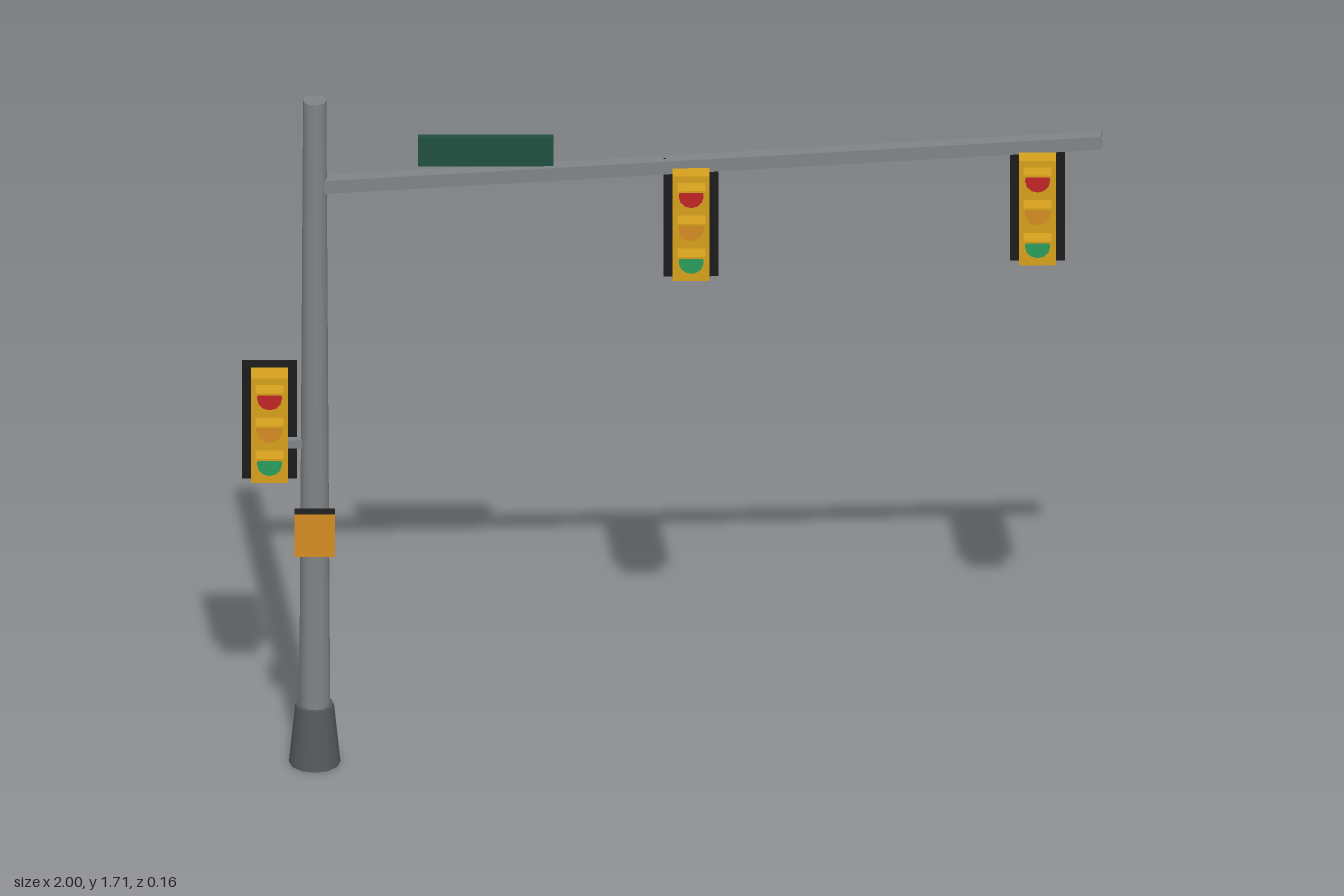
import * as THREE from 'three';

const mat = (name, color) => {
  const m = new THREE.MeshStandardMaterial({ color });
  m.name = name;
  return m;
};

export function createModel() {
  const steel = mat('steel grey', 0x808486);
  const darkSteel = mat('dark steel', 0x56595c);
  const yellow = mat('signal yellow', 0xd4a01c);
  const black = mat('matt black', 0x1c1c1c);
  const red = mat('red lens', 0xc02626);
  const amber = mat('amber lens', 0xd48c22);
  const green = mat('green lens', 0x2a9c5c);
  const signGreen = mat('sign green', 0x1f4f3f);

  const model = new THREE.Group();
  model.name = 'trafficSignal';

  const add = (parent, name, geometry, material, x, y, z) => {
    const mesh = new THREE.Mesh(geometry, material);
    mesh.name = name;
    mesh.position.set(x, y, z);
    parent.add(mesh);
    return mesh;
  };
  const box = (parent, name, size, material, x, y, z) =>
    add(parent, name, new THREE.BoxGeometry(...size), material, x, y, z);

  // Tapered pole on a flared base
  const poleX = -0.83, poleZ = -0.02;
  add(model, 'base', new THREE.CylinderGeometry(0.045, 0.06, 0.15, 12), darkSteel, poleX, 0.075, poleZ);
  add(model, 'pole', new THREE.CylinderGeometry(0.027, 0.036, 1.56, 12), steel, poleX, 0.93, poleZ);

  // Mast arm rising gently away from the pole
  const start = new THREE.Vector2(-0.815, 1.492), end = new THREE.Vector2(0.999, 1.604);
  const arm = box(model, 'mastArm', [start.distanceTo(end), 0.033, 0.033], steel,
    (start.x + end.x) / 2, (start.y + end.y) / 2, poleZ);
  arm.rotation.z = Math.atan2(end.y - start.y, end.x - start.x);

  // Street sign above the arm
  box(model, 'streetSign', [0.315, 0.075, 0.016], signGreen, -0.432, 1.578, -0.024);

  // Three-lamp signal head: backplate, housing, lenses and flat visors
  const signalHead = (name, x, y, z) => {
    const head = new THREE.Group();
    head.name = name;
    head.position.set(x, y, z);
    box(head, 'backplate', [0.128, 0.304, 0.005], black, 0, 0, -0.0315);
    box(head, 'housing', [0.086, 0.27, 0.06], yellow, 0, 0, 0);
    [red, amber, green].forEach((lens, i) => {
      const lampY = 0.085 * (1 - i);
      const lamp = add(head, 'lens', new THREE.CylinderGeometry(0.029, 0.029, 0.008, 12), lens, 0, lampY, 0.032);
      lamp.rotation.x = Math.PI / 2;
      box(head, 'visor', [0.065, 0.005, 0.045], yellow, 0, lampY + 0.031, 0.052);
    });
    model.add(head);
  };
  signalHead('poleSignal', -0.935, 0.87, -0.02);
  signalHead('middleSignal', 0.045, 1.406, 0.01);
  signalHead('endSignal', 0.85, 1.445, 0.01);

  // Bracket holding the pole signal
  box(model, 'signalBracket', [0.05, 0.02, 0.02], steel, -0.875, 0.825, poleZ);

  // Pedestrian signal box with its amber face
  box(model, 'pedestrianBox', [0.094, 0.108, 0.033], black, poleX, 0.62, 0.0365);
  box(model, 'pedestrianFace', [0.094, 0.108, 0.002], amber, poleX, 0.62, 0.054);

  return model;
}
